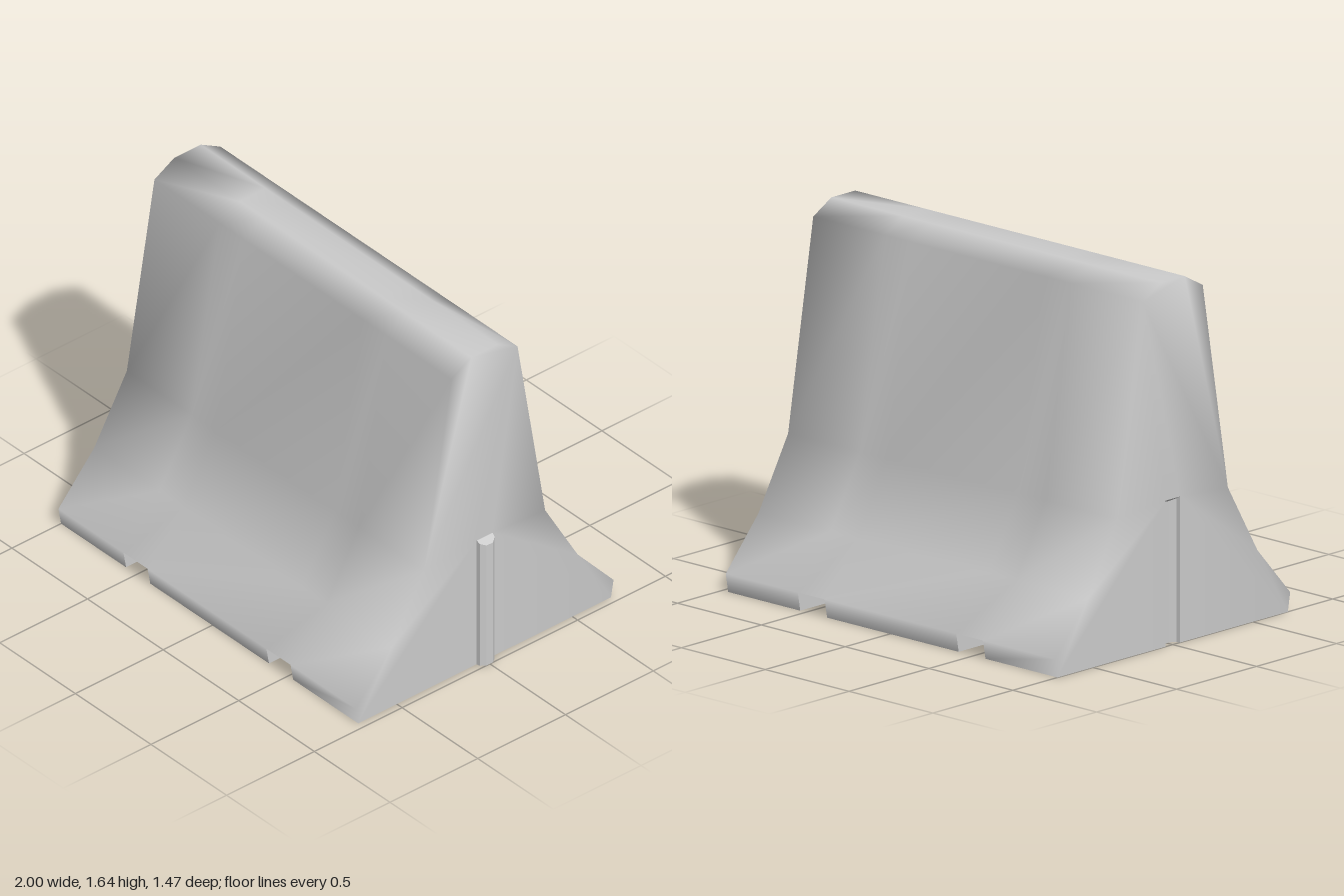
import * as THREE from 'three';

const material = new THREE.MeshStandardMaterial({ color: 0xcccccc, side: THREE.DoubleSide });

function makeGeometry(points, index, flat) {
  let geometry = new THREE.BufferGeometry();
  geometry.setAttribute('position', new THREE.Float32BufferAttribute(points.flat(), 3));
  geometry.setIndex(index);
  if (flat) geometry = geometry.toNonIndexed();
  geometry.computeVertexNormals();
  return geometry;
}

function addMesh(parent, name, geometry) {
  const mesh = new THREE.Mesh(geometry, material);
  mesh.name = name;
  parent.add(mesh);
  return mesh;
}

// Half profile as [z, y], from the foot to the crown
const half = [[0.72, 0], [0.735, 0.085], [0.53, 0.315], [0.345, 0.635], [0.188, 1.575], [0.075, 1.638]];
const profile = [...half, ...half.map(([z, y]) => [-z, y]).reverse()];
const columns = [-1, -0.57, -0.41, 0.375, 0.535, 0.965];
const notchColumns = [1, 3];
const keyWidth = 0.045, keyTop = 0.655;

// Hollow shell, open underneath, with softly shaded corners
function shellGeometry() {
  const n = profile.length;
  const points = columns.flatMap(x => profile.map(([z, y]) => [x, y, z]));
  const index = [];
  for (let i = 0; i < columns.length - 1; i++) {
    for (let j = 0; j < n - 1; j++) {
      const atFoot = j === 0 || j === n - 2;
      if (atFoot && notchColumns.includes(i)) continue;
      const a = i * n + j, b = a + n;
      index.push(a, b, b + 1, a, b + 1, a + 1);
    }
  }
  // End walls, each with a slot for the interlocking key
  const slot = [[-keyWidth, 0], [-keyWidth, keyTop], [keyWidth, keyTop], [keyWidth, 0]];
  const outline = [...profile, ...slot].map(([z, y]) => new THREE.Vector2(z, y));
  const triangles = THREE.ShapeUtils.triangulateShape(outline, []);
  for (const column of [0, columns.length - 1]) {
    const slotStart = points.length;
    slot.forEach(([z, y]) => points.push([columns[column], y, z]));
    const id = k => (k < n ? column * n + k : slotStart + k - n);
    for (const [a, b, c] of triangles) {
      if (column === 0) index.push(id(a), id(b), id(c));
      else index.push(id(a), id(c), id(b));
    }
  }
  return makeGeometry(points, index, false);
}

// Bevelled vertical key, used as the tongue and again as the groove lining
function keyGeometry() {
  const section = [[0, keyWidth], [0.018, 0.042], [0.035, 0.018], [0.035, -0.018], [0.018, -0.042], [0, -keyWidth]];
  const n = section.length;
  const points = [
    ...section.map(([x, z]) => [x, 0, z]),
    ...section.map(([x, z]) => [x, keyTop - x * 0.57, z]),
  ];
  const index = [];
  for (let k = 0; k < n - 1; k++) {
    index.push(k, k + 1, n + k + 1, k, n + k + 1, n + k);
    if (k > 0) index.push(n, n + k, n + k + 1);
  }
  return makeGeometry(points, index, true);
}

// Lining of a lifting notch: two sides, ceiling and inner wall
function notchGeometry(width) {
  const section = [[0.72, 0], [0.735, 0.085], [0.53, 0.085], [0.53, 0]];
  const points = [-width / 2, width / 2].flatMap(x => section.map(([z, y]) => [x, y, z]));
  const index = [
    0, 3, 2, 0, 2, 1,
    4, 6, 7, 4, 5, 6,
    1, 2, 6, 1, 6, 5,
    3, 7, 6, 3, 6, 2,
  ];
  return makeGeometry(points, index, true);
}

export function createModel() {
  const barrier = new THREE.Group();
  barrier.name = 'barrier';

  addMesh(barrier, 'shell', shellGeometry());

  // Tongue on the left end, matching groove in the right end
  const key = keyGeometry();
  addMesh(barrier, 'tongue', key).position.x = 0.965;
  addMesh(barrier, 'groove', key).position.x = -1;

  // Lifting notches along both feet
  for (const i of notchColumns) {
    const geometry = notchGeometry(columns[i + 1] - columns[i]);
    for (const [name, turn] of [['frontNotch', 0], ['backNotch', Math.PI]]) {
      const notch = addMesh(barrier, name, geometry);
      notch.position.x = (columns[i] + columns[i + 1]) / 2;
      notch.rotation.y = turn;
    }
  }
  return barrier;
}
